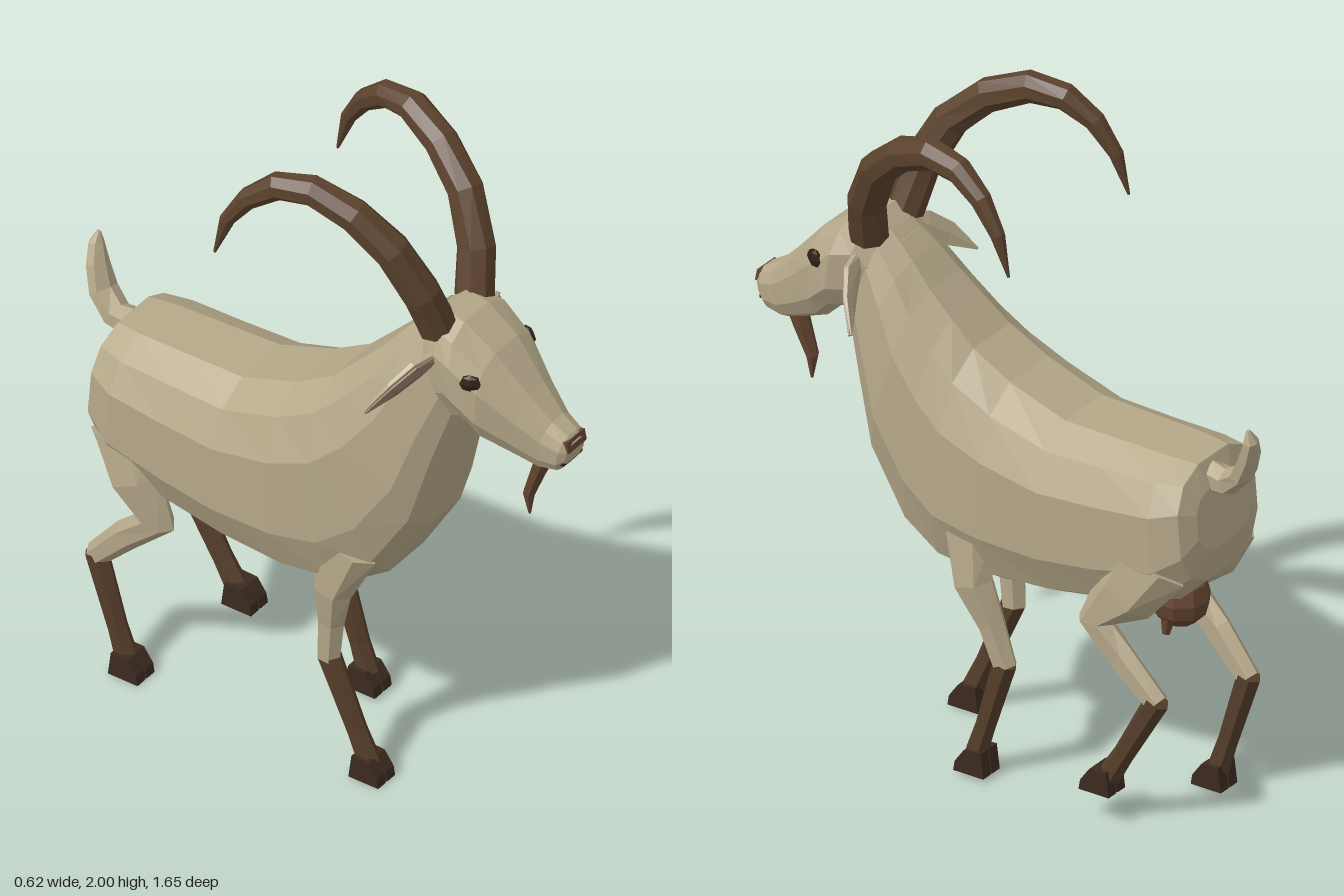
import * as THREE from 'three';

const mat = (name, color, extra = {}) => {
  const m = new THREE.MeshStandardMaterial({ color, flatShading: true, ...extra });
  m.name = name;
  return m;
};

// Closed faceted skin through a list of rings, always turned outward
function loft(rings) {
  const n = rings[0].length, tris = [];
  for (let r = 0; r < rings.length - 1; r++) {
    for (let i = 0; i < n; i++) {
      const j = (i + 1) % n, a = rings[r], b = rings[r + 1];
      tris.push([a[i], a[j], b[j]], [a[i], b[j], b[i]]);
    }
  }
  const first = rings[0], last = rings[rings.length - 1];
  for (let i = 1; i < n - 1; i++) {
    tris.push([first[0], first[i + 1], first[i]], [last[0], last[i], last[i + 1]]);
  }
  let volume = 0;
  for (const [a, b, c] of tris) volume += a.dot(b.clone().cross(c));
  const pos = [];
  for (const [a, b, c] of tris) {
    for (const p of volume < 0 ? [a, c, b] : [a, b, c]) pos.push(p.x, p.y, p.z);
  }
  const g = new THREE.BufferGeometry();
  g.setAttribute('position', new THREE.Float32BufferAttribute(pos, 3));
  g.computeVertexNormals();
  return g;
}

// Trunk-like form; section: [topZ, topY, bottomZ, bottomY, halfWidth, centreX]
function trunk(sections, power, n = 12) {
  const sq = (v) => Math.sign(v) * Math.abs(v) ** power;
  return loft(sections.map(([tz, ty, bz, by, w, cx]) =>
    Array.from({ length: n }, (_, i) => {
      const a = ((i + 0.5) / n) * Math.PI * 2, s = sq(Math.sin(a));
      return new THREE.Vector3(cx + w * sq(Math.cos(a)),
        (ty + by) / 2 + (s * (ty - by)) / 2, (tz + bz) / 2 + (s * (tz - bz)) / 2);
    })));
}

// Limb along a path; point: [x, y, z, radius sideways, radius in depth]
function limb(points, n = 6, twist = 0, lift = 0) {
  const at = points.map((p) => new THREE.Vector3(p[0], p[1], p[2]));
  return loft(points.map((p, k) => {
    const before = at[Math.max(k - 1, 0)], after = at[Math.min(k + 1, at.length - 1)];
    const t = after.clone().sub(before).normalize();
    const side = new THREE.Vector3(1, 0, 0).addScaledVector(t, -t.x).normalize().applyAxisAngle(t, twist);
    const other = t.clone().cross(side);
    return Array.from({ length: n }, (_, i) => {
      const a = ((i + 0.5) / n) * Math.PI * 2;
      return at[k].clone().addScaledVector(side, p[3] * Math.cos(a))
        .addScaledVector(other, p[4] * Math.sin(a) + lift);
    });
  }));
}

export function createModel() {
  const group = new THREE.Group();
  const coat = mat('tan coat', 0xb5a889);
  const horn = mat('horn brown', 0x5b422d);
  const stocking = mat('stocking brown', 0x553d2a);
  const hoofDark = mat('hoof brown', 0x3b2a20);
  const tuft = mat('tuft brown', 0x654531);
  const earPink = mat('inner ear', 0x8c7460);
  const dark = mat('eye dark', 0x2e1f16);
  const add = (name, geometry, material) => {
    const m = new THREE.Mesh(geometry, material);
    m.name = name;
    group.add(m);
    return m;
  };

  // Body and neck
  add('body', trunk([
    [-0.66, 1.05, -0.68, 0.86, 0.13, -0.03],
    [-0.63, 1.12, -0.66, 0.76, 0.19, -0.035],
    [-0.55, 1.125, -0.58, 0.68, 0.22, -0.035],
    [-0.38, 1.13, -0.38, 0.62, 0.228, -0.035],
    [-0.2, 1.135, -0.2, 0.59, 0.238, -0.035],
    [-0.02, 1.2, 0.0, 0.57, 0.243, -0.035],
    [0.1, 1.27, 0.16, 0.575, 0.235, -0.03],
    [0.17, 1.34, 0.28, 0.65, 0.215, -0.02],
    [0.24, 1.41, 0.4, 0.85, 0.195, -0.01],
    [0.3, 1.48, 0.45, 1.07, 0.165, 0],
    [0.37, 1.55, 0.49, 1.24, 0.13, 0.01],
  ], 0.72), coat);

  // Head
  add('head', trunk([
    [0.34, 1.52, 0.44, 1.24, 0.12, 0.01],
    [0.42, 1.59, 0.5, 1.27, 0.145, 0.01],
    [0.49, 1.575, 0.54, 1.265, 0.16, 0.01],
    [0.59, 1.505, 0.58, 1.22, 0.145, 0.012],
    [0.69, 1.395, 0.66, 1.185, 0.1, 0.014],
    [0.76, 1.325, 0.73, 1.16, 0.072, 0.015],
    [0.81, 1.295, 0.785, 1.17, 0.06, 0.015],
    [0.825, 1.275, 0.81, 1.2, 0.045, 0.015],
  ], 0.75), coat);

  // Nose and mouth
  const nose = add('nose', new THREE.BoxGeometry(0.085, 0.035, 0.02), tuft);
  nose.position.set(0.015, 1.268, 0.814);
  nose.rotation.x = -0.2;
  add('mouth', new THREE.BoxGeometry(0.09, 0.009, 0.03), dark).position.set(0.015, 1.208, 0.796);

  // Eyes and ears on both sides
  for (const s of [1, -1]) {
    const eye = add('eye', new THREE.SphereGeometry(1, 6, 4), dark);
    eye.scale.set(0.016, 0.027, 0.034);
    eye.position.set(0.012 + s * 0.136, 1.44, 0.565);
    eye.rotation.y = -s * 0.4;
    const ear = (k) => limb([
      [0.01 + s * 0.11, 1.475, 0.44, 0.02 * k, 0.014],
      [0.01 + s * 0.18, 1.45, 0.415, 0.045 * k, 0.014],
      [0.01 + s * 0.24, 1.405, 0.38, 0.038 * k, 0.01],
      [0.01 + s * 0.305, 1.345, 0.33, 0.004 * k, 0.003],
    ], 6, -s * 0.5, k < 1 ? 0.006 : 0);
    add('ear', ear(1), coat);
    add('innerEar', ear(0.7), earPink);
  }

  // Swept-back horns
  const arc = [[1.54, 0.42, 0.057], [1.67, 0.395, 0.056], [1.81, 0.325, 0.054], [1.905, 0.22, 0.05],
    [1.955, 0.1, 0.046], [1.942, 0.0, 0.04], [1.88, -0.08, 0.032], [1.79, -0.14, 0.022], [1.67, -0.175, 0.004]];
  const spread = {
    leftHorn: [0.1, 0.145, 0.19, 0.225, 0.258, 0.275, 0.285, 0.292, 0.29],
    rightHorn: [-0.07, -0.115, -0.155, -0.187, -0.215, -0.24, -0.265, -0.28, -0.29],
  };
  for (const [name, xs] of Object.entries(spread)) {
    add(name, limb(arc.map(([y, z, r], i) => [xs[i], y, z, r, r]), 8), horn);
  }

  // Beard
  add('beard', limb([
    [0.005, 1.2, 0.73, 0.035, 0.03], [0.005, 1.13, 0.705, 0.03, 0.023],
    [0, 1.04, 0.675, 0.02, 0.018], [0, 0.97, 0.677, 0.004, 0.004],
  ]), tuft);

  // Tail
  add('tail', limb([
    [-0.02, 1.06, -0.64, 0.045, 0.045], [-0.015, 1.06, -0.7, 0.045, 0.038],
    [0, 1.11, -0.755, 0.05, 0.03], [0.015, 1.18, -0.785, 0.04, 0.028],
    [0.03, 1.235, -0.8, 0.025, 0.022], [0.035, 1.27, -0.795, 0.006, 0.006],
  ]), coat);

  // Udder with two teats
  const udder = add('udder', new THREE.SphereGeometry(1, 9, 6), tuft);
  udder.scale.set(0.085, 0.09, 0.09);
  udder.position.set(-0.035, 0.645, -0.52);
  for (const s of [1, -1]) {
    add('teat', limb([[-0.035 + s * 0.04, 0.6, -0.51, 0.025, 0.025],
      [-0.035 + s * 0.045, 0.54, -0.505, 0.012, 0.012]]), tuft);
  }

  // Cloven hoof: two matching toes
  const toe = new THREE.Shape([[-0.05, 0], [0.05, 0], [0.045, 0.03], [0.015, 0.072], [-0.04, 0.075]]
    .map(([z, y]) => new THREE.Vector2(z, y)));
  const addHoof = (x, y, z) => {
    for (const dx of [0.04, -0.003]) {
      const g = new THREE.ExtrudeGeometry(toe, { depth: 0.037, bevelEnabled: false });
      g.rotateY(-Math.PI / 2).translate(x + dx, y, z);
      add('hoof', g, hoofDark);
    }
  };

  // Legs: tan upper part, brown stocking, hoof
  const addLeg = (name, upper, ankle, hoof) => {
    const knee = upper[upper.length - 1];
    add(name + 'Upper', limb(upper), coat);
    add(name + 'Lower', limb([
      [knee[0], knee[1] + 0.01, knee[2], 0.033, 0.037],
      [...ankle.map((v, i) => v * 0.7 + knee[i] * 0.3), 0.029, 0.031],
      [...ankle, 0.033, 0.035],
    ]), stocking);
    addHoof(...hoof);
  };
  addLeg('leftFrontLeg', [
    [0.14, 0.76, 0.06, 0.055, 0.09], [0.155, 0.6, 0.035, 0.052, 0.065],
    [0.145, 0.48, -0.02, 0.038, 0.042], [0.14, 0.36, -0.06, 0.032, 0.037],
  ], [0.14, 0.06, 0.035], [0.14, 0.01, 0.035]);
  addLeg('rightFrontLeg', [
    [-0.18, 0.76, 0.2, 0.055, 0.09], [-0.19, 0.6, 0.15, 0.05, 0.062],
    [-0.182, 0.48, 0.14, 0.038, 0.042], [-0.18, 0.35, 0.13, 0.033, 0.037],
  ], [-0.178, 0.05, 0.265], [-0.177, 0, 0.272]);
  addLeg('leftHindLeg', [
    [0.125, 0.84, -0.54, 0.06, 0.12], [0.145, 0.71, -0.46, 0.06, 0.095],
    [0.16, 0.61, -0.375, 0.045, 0.055], [0.16, 0.52, -0.46, 0.036, 0.045],
    [0.16, 0.41, -0.58, 0.032, 0.036],
  ], [0.16, 0.14, -0.42], [0.16, 0.092, -0.395]);
  addLeg('rightHindLeg', [
    [-0.19, 0.84, -0.56, 0.06, 0.11], [-0.205, 0.7, -0.5, 0.06, 0.09],
    [-0.2, 0.58, -0.43, 0.045, 0.055], [-0.19, 0.48, -0.54, 0.036, 0.045],
    [-0.18, 0.36, -0.65, 0.032, 0.036],
  ], [-0.178, 0.05, -0.55], [-0.178, 0, -0.535]);

  return group;
}
